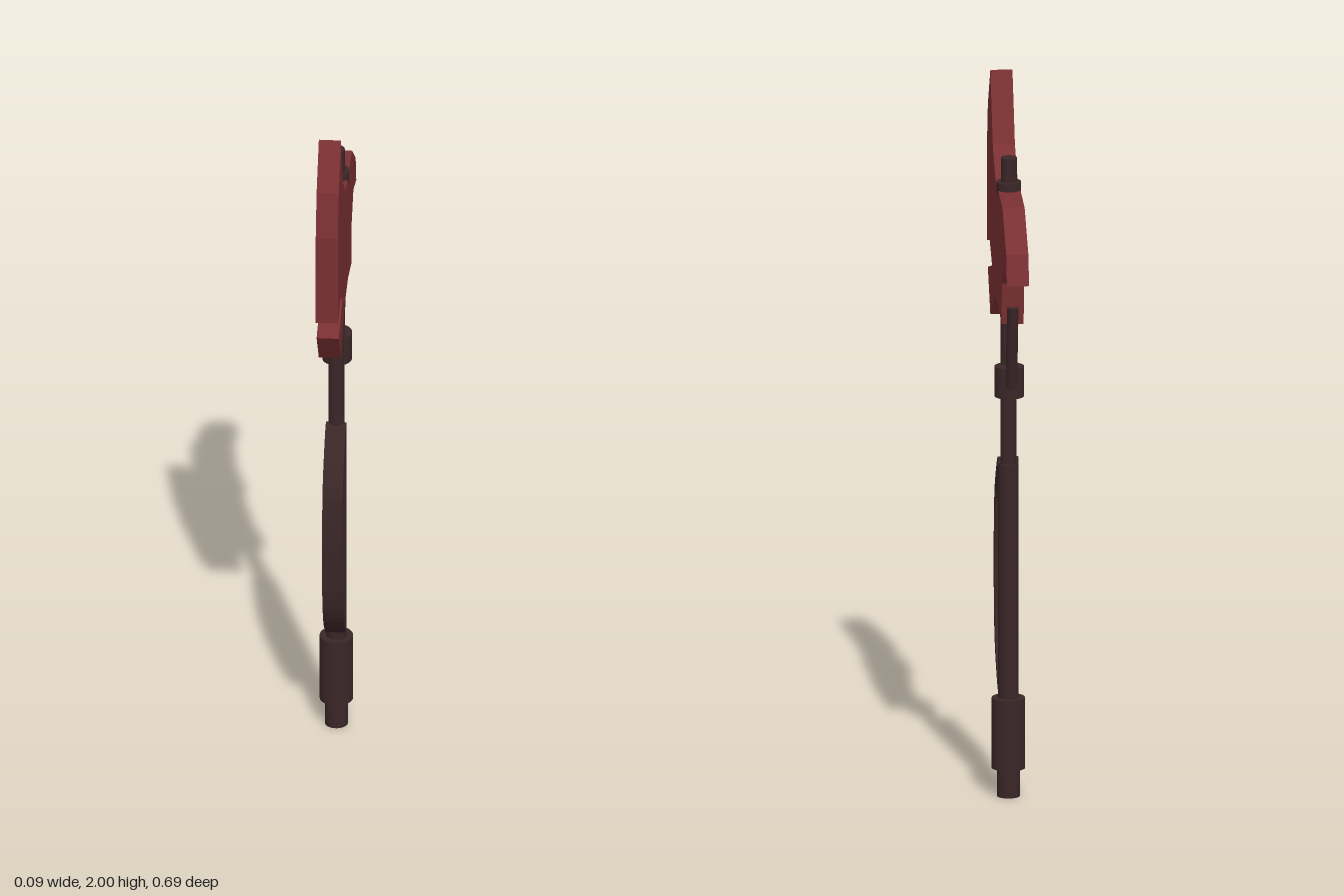
import * as THREE from 'three';

export function createModel() {
  const group = new THREE.Group();
  const red = new THREE.MeshStandardMaterial({ color: 0x7a3032 });
  red.name = 'dark red';
  const brown = new THREE.MeshStandardMaterial({ color: 0x3a2627 });
  brown.name = 'dark brown';

  const add = (name, geometry, material) => {
    const mesh = new THREE.Mesh(geometry, material);
    mesh.name = name;
    group.add(mesh);
    return mesh;
  };

  // Upright cylinder between two heights
  const post = (name, radius, y0, y1, z) => {
    const mesh = add(name, new THREE.CylinderGeometry(radius, radius, y1 - y0, 32), brown);
    mesh.position.set(0, (y0 + y1) / 2, z);
  };

  // Plate with a (z, y) outline, centred on x = 0
  const plate = (name, points, width, material) => {
    const geometry = new THREE.ExtrudeGeometry(new THREE.Shape(points), { depth: width, bevelEnabled: false });
    geometry.translate(0, 0, -width / 2);
    geometry.rotateY(-Math.PI / 2);
    return add(name, geometry, material);
  };
  const vectors = (list) => list.map(([z, y]) => new THREE.Vector2(z, y));

  // Axe head: broad blade in front, hooked beak behind
  plate('axeHead', vectors([
    [0.23, 2.0], [0.315, 1.88], [0.347, 1.755], [0.347, 1.485], [0.25, 1.51], [0.17, 1.46],
    [0.315, 1.417], [0.23, 1.305], [0.09, 1.395], [-0.04, 1.405], [-0.156, 1.38], [-0.17, 1.5],
    [-0.235, 1.57], [-0.343, 1.537], [-0.32, 1.62], [-0.19, 1.72], [0.055, 1.737], [0.145, 1.81],
  ]), 0.061, red);

  // Shaft, from the foot to the top
  post('endCap', 0.032, 0, 0.09, -0.012);
  post('pommel', 0.046, 0.08, 0.28, -0.012);
  post('handle', 0.028, 0.27, 0.945, -0.012);
  post('shaft', 0.022, 0.94, 1.735, -0.011);
  post('shaftRing', 0.041, 1.145, 1.23, -0.041);
  post('topCollar', 0.034, 1.72, 1.752, -0.029);
  post('topPin', 0.022, 1.74, 1.82, -0.028);

  // Slanted rod under the beak
  const top = new THREE.Vector3(0, 1.43, -0.162);
  const foot = new THREE.Vector3(0, 1.19, -0.113);
  const axis = top.clone().sub(foot);
  const rod = add('slantedRod', new THREE.CylinderGeometry(0.016, 0.016, axis.length(), 20), brown);
  rod.position.copy(top).add(foot).multiplyScalar(0.5);
  rod.quaternion.setFromUnitVectors(new THREE.Vector3(0, 1, 0), axis.normalize());

  // Hand guard: flat strap bowed out in front of the handle
  const curve = new THREE.SplineCurve(vectors([
    [-0.01, 0.95], [0.015, 0.942], [0.064, 0.893], [0.111, 0.82], [0.132, 0.697], [0.133, 0.6],
    [0.122, 0.48], [0.087, 0.392], [0.02, 0.322], [-0.01, 0.308],
  ]));
  const outer = [];
  const inner = [];
  const steps = 36;
  for (let i = 0; i <= steps; i++) {
    const p = curve.getPoint(i / steps);
    const t = curve.getTangent(i / steps);
    const side = new THREE.Vector2(-t.y, t.x).multiplyScalar(0.0125);
    outer.push(p.clone().add(side));
    inner.unshift(p.clone().sub(side));
  }
  plate('handGuard', [...outer, ...inner], 0.056, brown);

  return group;
}
